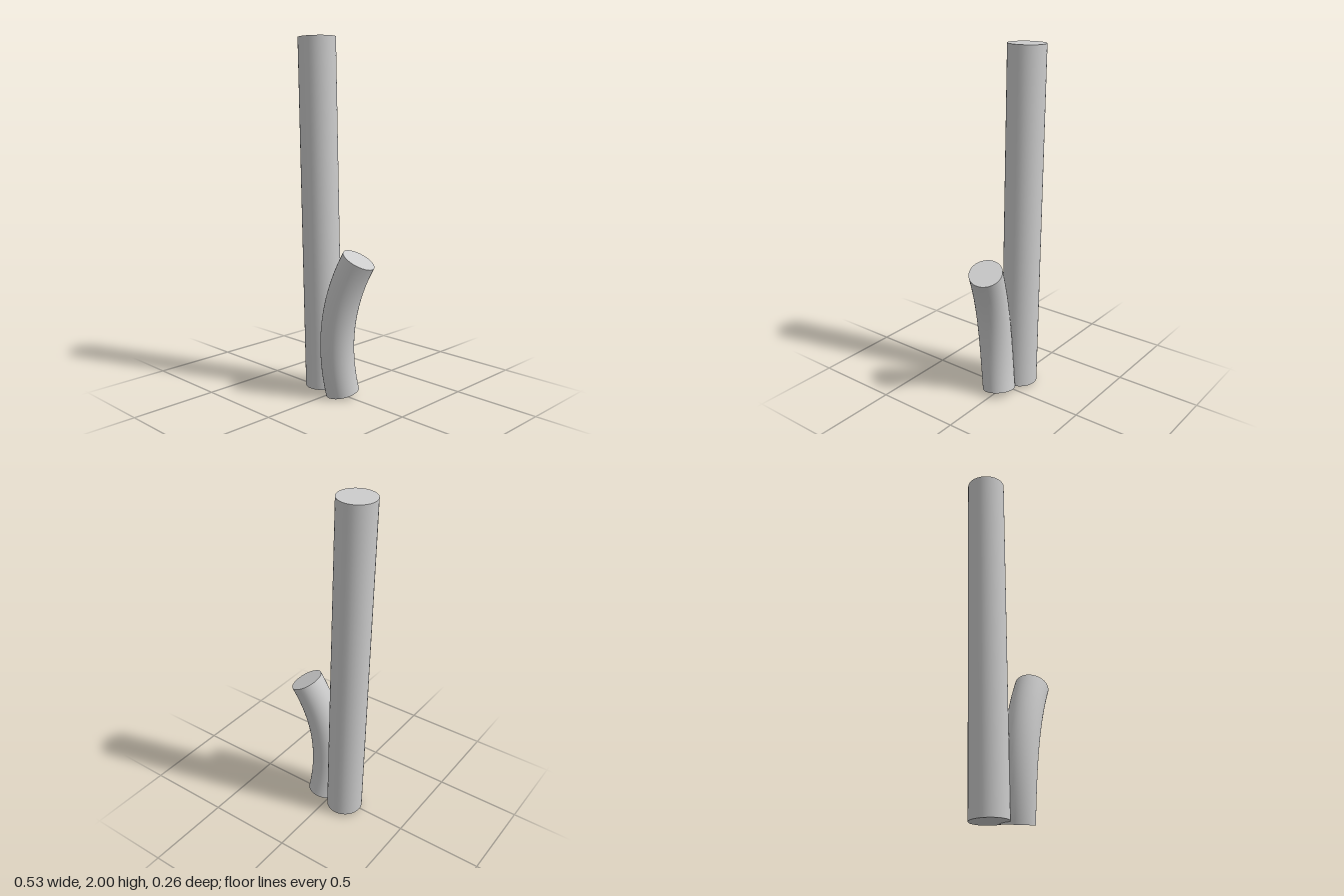
import * as THREE from 'three';

const SIDES = 36;
const v = (x, y, z) => new THREE.Vector3(x, y, z);

// Solid round limb swept along a curve, with flat caps square to the curve ends
function makeLimb(name, curve, radius, steps) {
  const material = new THREE.MeshStandardMaterial({ color: 0xcccccc });
  const limb = new THREE.Group();
  limb.name = name;

  const side = new THREE.Mesh(new THREE.TubeGeometry(curve, steps, radius, SIDES), material);
  side.name = name + 'Side';
  limb.add(side);

  const frames = curve.computeFrenetFrames(steps);
  for (const [end, i, sign] of [['Bottom', 0, -1], ['Top', steps, 1]]) {
    const basis = new THREE.Matrix4().makeBasis(
      frames.normals[i],
      frames.binormals[i].clone().multiplyScalar(sign),
      frames.tangents[i].clone().multiplyScalar(sign)
    ).setPosition(curve.getPointAt(i / steps));
    const cap = new THREE.Mesh(new THREE.CircleGeometry(radius, SIDES).applyMatrix4(basis), material);
    cap.name = name + end + 'Cap';
    limb.add(cap);
  }
  return limb;
}

export function createModel() {
  const model = new THREE.Group();
  model.name = 'forkedBranch';

  // Tall straight stem leaning slightly to its right
  const stemLine = new THREE.LineCurve3(v(-0.109, 0.013, -0.022), v(-0.162, 1.997, -0.022));
  model.add(makeLimb('mainStem', stemLine, 0.106, 1));

  // Short side branch bowing forward, then bending outward
  const branchLine = new THREE.CubicBezierCurve3(
    v(0.061, 0.018, 0), v(0.03, 0.27, 0.045), v(0.045, 0.53, 0.045), v(0.18, 0.797, -0.002)
  );
  model.add(makeLimb('sideBranch', branchLine, 0.095, 24));

  return model;
}
